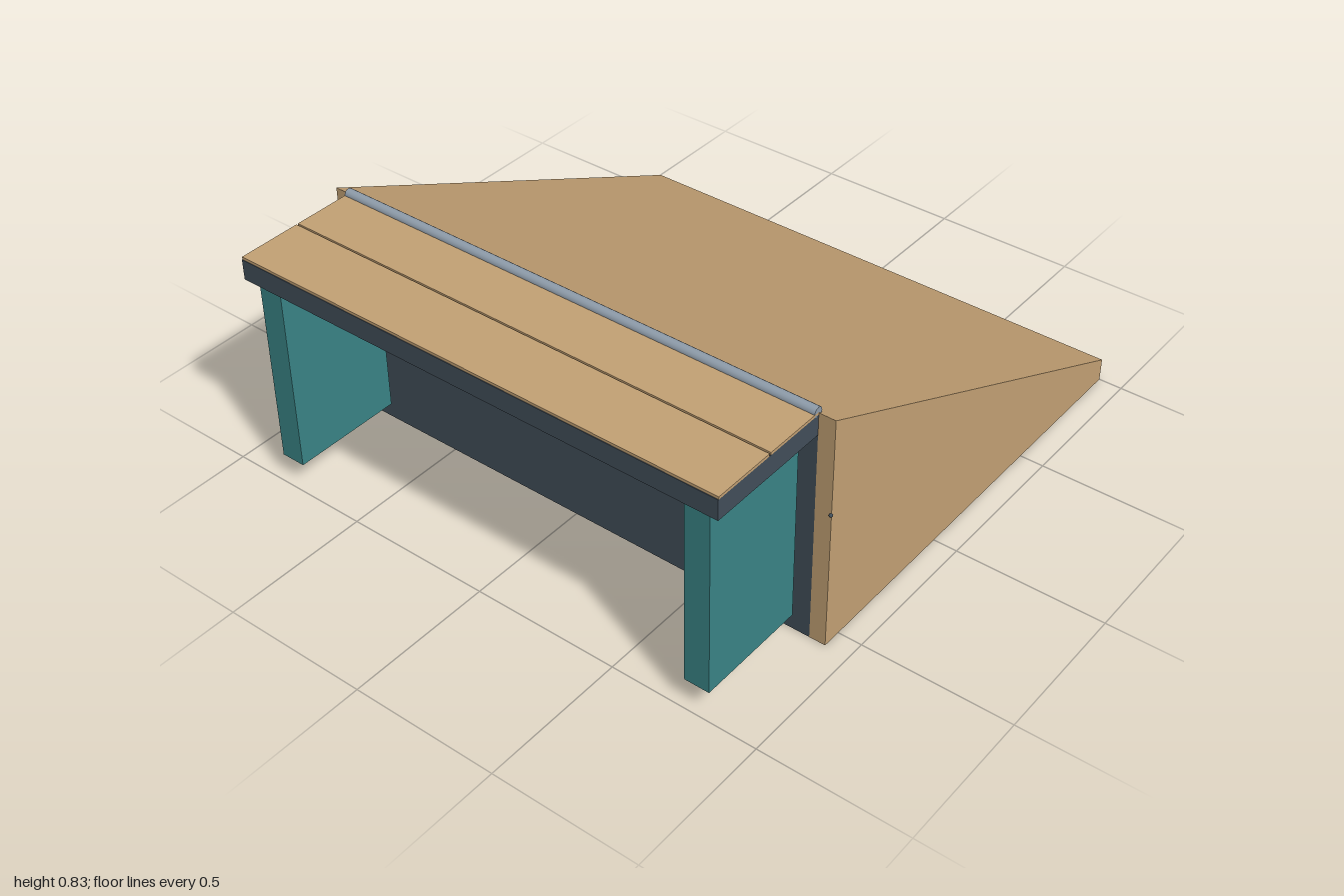
import * as THREE from 'three';

const tan = new THREE.MeshStandardMaterial({ color: 0xc4a275 });
tan.name = 'plywood';
const dark = new THREE.MeshStandardMaterial({ color: 0x424f5a });
dark.name = 'dark frame';
const teal = new THREE.MeshStandardMaterial({ color: 0x3a8587 });
teal.name = 'teal paint';
const steel = new THREE.MeshStandardMaterial({ color: 0x8f9dab });
steel.name = 'steel';

const FRONT = 0.565, BACK = -1, HIGH = 0.81, LOW = 0.08, SKIN = 0.02;

export function createModel() {
  const model = new THREE.Group();
  model.name = 'foldingRamp';

  const add = (name, geometry, material, x = 0, y = 0, z = 0) => {
    const mesh = new THREE.Mesh(geometry, material);
    mesh.name = name;
    mesh.position.set(x, y, z);
    model.add(mesh);
    return mesh;
  };
  // Box given by its minimum and maximum corners
  const box = (name, material, [x0, y0, z0], [x1, y1, z1]) =>
    add(name, new THREE.BoxGeometry(x1 - x0, y1 - y0, z1 - z0), material,
      (x0 + x1) / 2, (y0 + y1) / 2, (z0 + z1) / 2);
  // Side profile of [z, y] points, extruded across x
  const slab = (name, material, points, x0, x1) => {
    const shape = new THREE.Shape(points.map(([z, y]) => new THREE.Vector2(-z, y)));
    const geometry = new THREE.ExtrudeGeometry(shape, { depth: x1 - x0, bevelEnabled: false });
    geometry.rotateY(Math.PI / 2);
    return add(name, geometry, material, x0);
  };

  // Ramp: dark core, plywood cheeks and a full-width riding surface
  const wedge = [[FRONT, 0], [BACK, 0], [BACK, LOW - SKIN], [FRONT, HIGH - SKIN]];
  slab('rampCore', dark, wedge, -0.865, 0.865);
  slab('leftCheek', tan, wedge, 0.865, 0.92);
  slab('rightCheek', tan, wedge, -0.92, -0.865);
  slab('rampSurface', tan,
    [[FRONT, HIGH - SKIN], [BACK, LOW - SKIN], [BACK, LOW], [FRONT, HIGH]], -0.92, 0.92);

  // Deck frame with two planks and a narrow seam between them
  box('deckFrame', dark, [-0.865, 0.735, FRONT], [0.865, 0.804, 1]);
  box('rearPlank', tan, [-0.865, 0.804, FRONT], [0.865, 0.813, 0.777]);
  box('frontPlank', tan, [-0.865, 0.804, 0.783], [0.865, 0.813, 0.998]);

  // Steel coping along the ramp lip
  const coping = new THREE.CylinderGeometry(0.017, 0.017, 1.73, 16);
  coping.rotateZ(Math.PI / 2);
  add('coping', coping, steel, 0, 0.813, 0.567);

  for (const side of [1, -1]) {
    const prefix = side > 0 ? 'left' : 'right';
    // Panel legs under the deck
    add(prefix + 'Leg', new THREE.BoxGeometry(0.085, 0.65, 0.385), teal, side * 0.7825, 0.41, 0.7875);
    // Small pins on the cheek edges
    add(prefix + 'Pin', new THREE.SphereGeometry(0.006, 10, 8), dark, side * 0.919, 0.485, 0.567);
  }
  return model;
}
